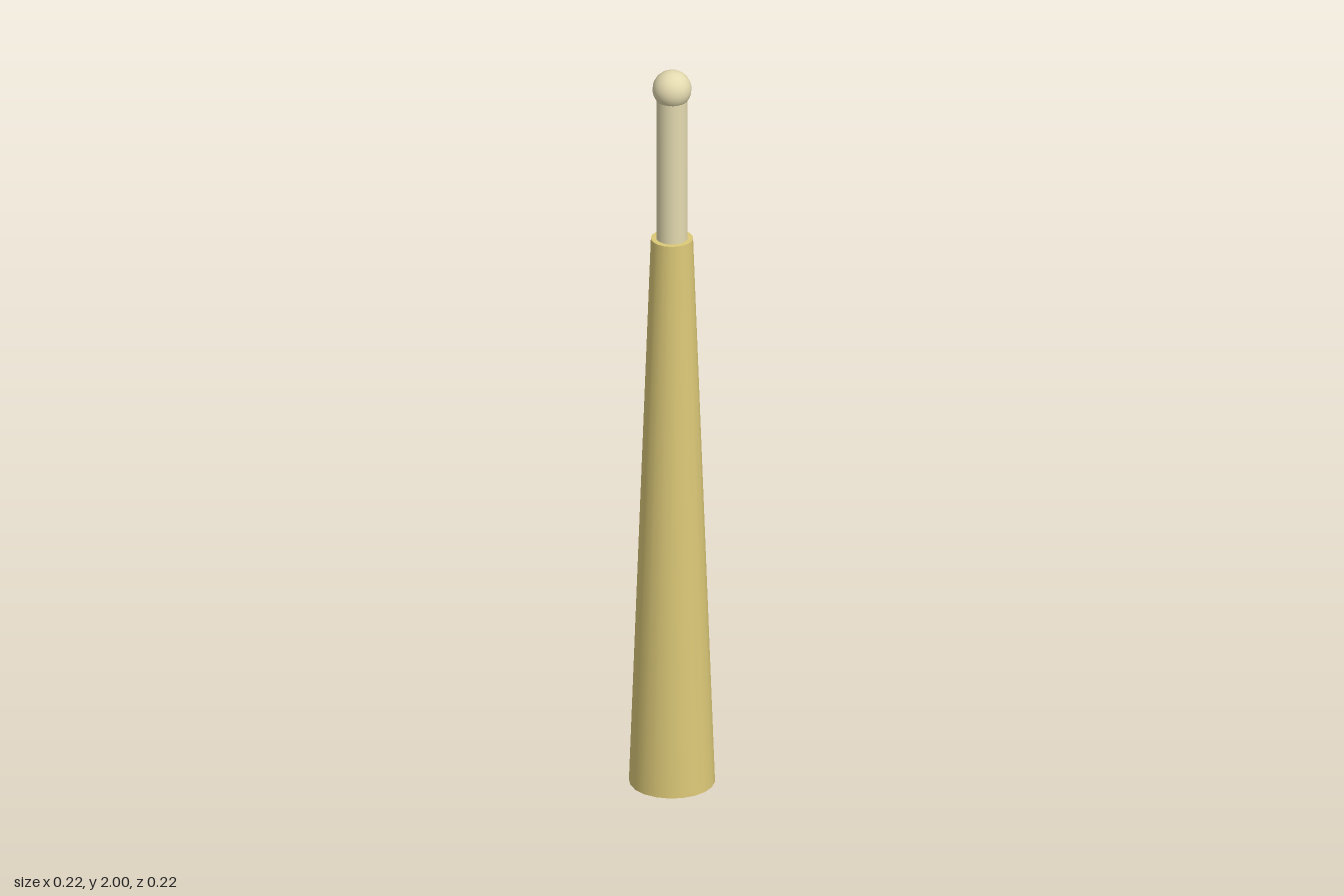
import * as THREE from 'three';

export function createModel() {
  const model = new THREE.Group();
  const brass = new THREE.MeshStandardMaterial({ color: 0xdcc978 });
  const ivory = new THREE.MeshStandardMaterial({ color: 0xe4dab0 });

  const add = (name, geometry, material, y) => {
    const mesh = new THREE.Mesh(geometry, material);
    mesh.name = name;
    mesh.position.y = y;
    model.add(mesh);
  };

  // Tapered lower body, closed at both ends
  const bodyHeight = 1.53;
  add('taperedBody', new THREE.CylinderGeometry(0.054, 0.11, bodyHeight, 20), brass, bodyHeight / 2);

  // Slim rod rising from the body into the ball
  const rodTop = 1.95;
  add('rod', new THREE.CylinderGeometry(0.04, 0.04, rodTop - bodyHeight, 20), ivory, (rodTop + bodyHeight) / 2);

  // Ball tip
  add('ballTip', new THREE.SphereGeometry(0.05, 24, 16), ivory, rodTop);

  return model;
}
